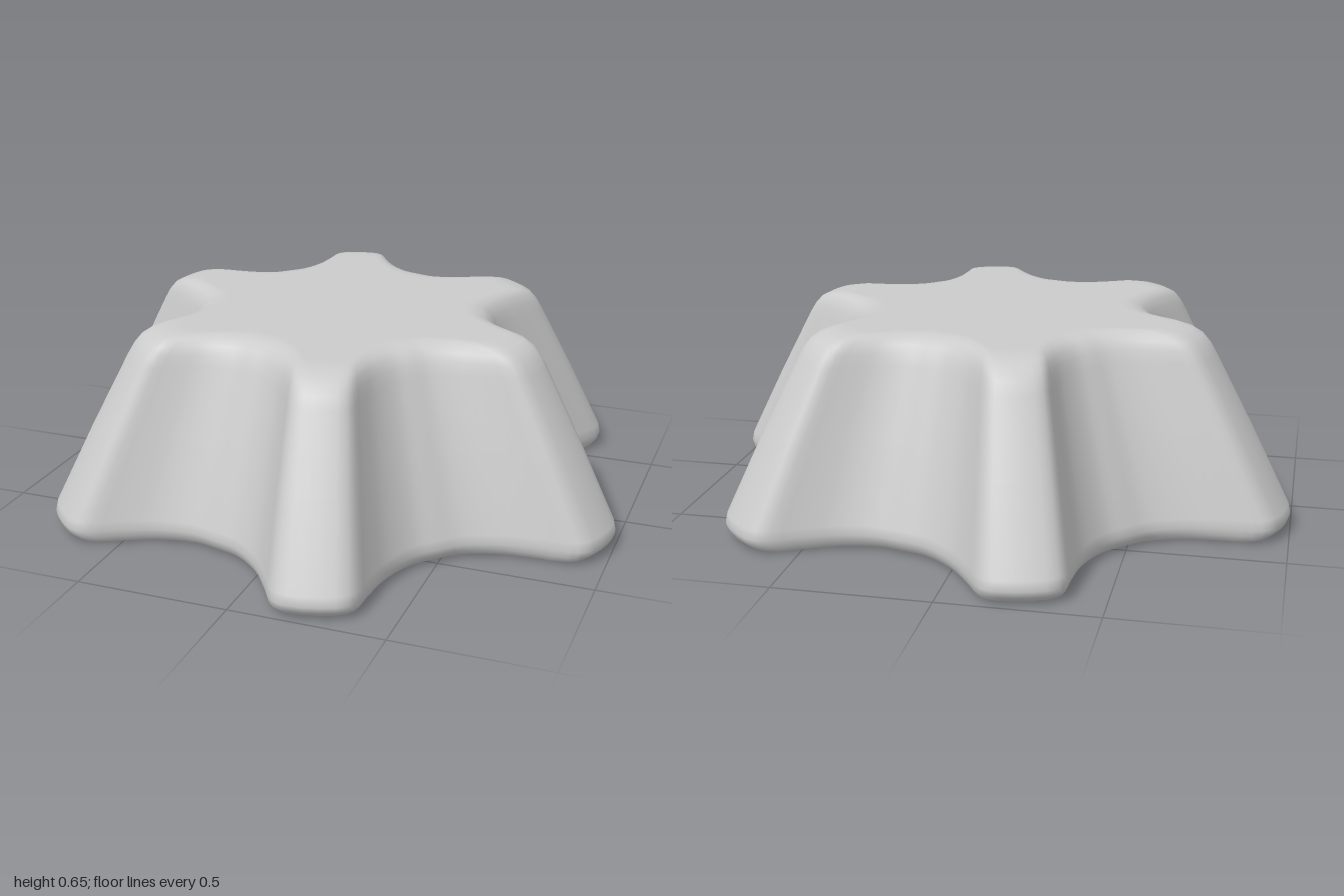
import * as THREE from 'three';

const LOBES = 6;

// Half of one lobe in its own axes: [outward, sideways], tip to valley
const HALF_LOBE = [[1.015, 0.07], [0.985, 0.122], [0.89, 0.157], [0.77, 0.205], [0.665, 0.283]];
const VALLEY = [0.618, 0.357];

// Rings from the base centre to the top centre: [height, scale of outline]
const RINGS = [
  [0, 0], [0, 0.9], [0, 0.945], [0.008, 0.97], [0.028, 0.993], [0.05, 1], [0.08, 0.993],
  [0.33, 0.863], [0.56, 0.737], [0.595, 0.715], [0.622, 0.69], [0.64, 0.655],
  [0.65, 0.605], [0.65, 0.56], [0.65, 0],
];

// Closed, smoothed star outline in the ground plane
function starOutline() {
  const lobe = [
    ...[...HALF_LOBE].reverse().map(([u, v]) => [u, -v]),
    ...HALF_LOBE,
    VALLEY,
  ];
  const points = [];
  for (let k = 0; k < LOBES; k++) {
    const a = Math.PI / 12 + (k * 2 * Math.PI) / LOBES;
    for (const [u, v] of lobe) {
      points.push(new THREE.Vector3(
        u * Math.cos(a) - v * Math.sin(a), 0, u * Math.sin(a) + v * Math.cos(a)));
    }
  }
  const curve = new THREE.CatmullRomCurve3(points, true, 'centripetal');
  const count = points.length * 3;
  return Array.from({ length: count }, (_, i) => curve.getPoint(i / count));
}

// Skin the scaled outlines into one closed solid
function starGeometry() {
  const outline = starOutline();
  const n = outline.length;
  const position = [];
  const index = [];
  RINGS.forEach(([y, s], j) => {
    outline.forEach((p, i) => {
      position.push(p.x * s, y, p.z * s);
      if (j === RINGS.length - 1) return;
      const a = j * n + i;
      const b = j * n + (i + 1) % n;
      if (RINGS[j + 1][1] > 0) index.push(a, a + n, b + n);
      if (s > 0) index.push(a, b + n, b);
    });
  });
  const geometry = new THREE.BufferGeometry();
  geometry.setAttribute('position', new THREE.Float32BufferAttribute(position, 3));
  geometry.setIndex(index);
  geometry.computeVertexNormals();
  return geometry;
}

export function createModel() {
  const group = new THREE.Group();
  group.name = 'lobedKnob';
  const body = new THREE.Mesh(
    starGeometry(), new THREE.MeshStandardMaterial({ color: 0xcccccc }));
  body.name = 'taperedStarBody';
  group.add(body);
  return group;
}
